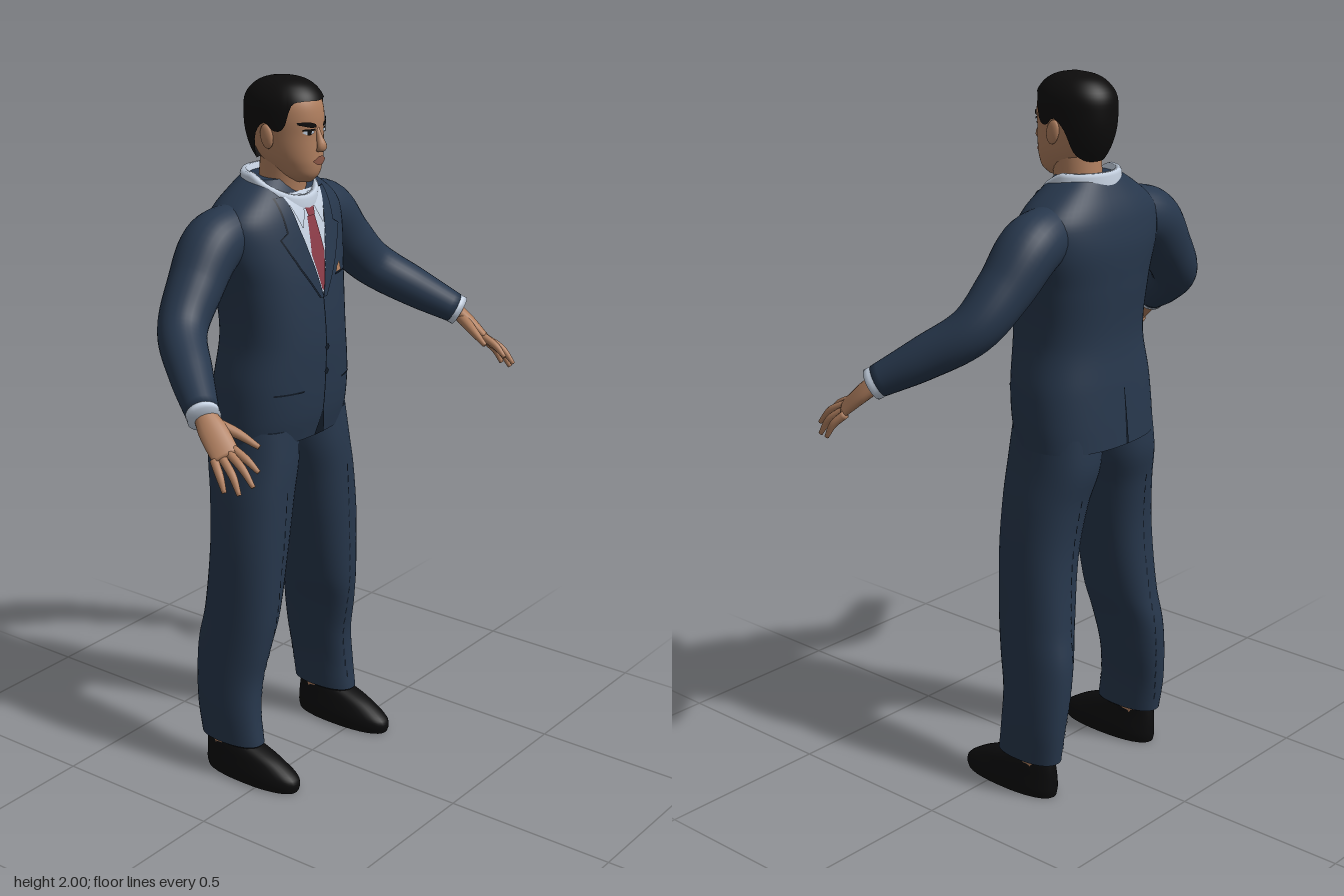
import * as THREE from 'three';

const mat = (name, color, side = THREE.FrontSide) => {
  const m = new THREE.MeshStandardMaterial({ color, side });
  m.name = name;
  return m;
};

// Surface from f(u, v); outward normal is du x dv, closed in u when asked
function grid(f, nu, nv, closed) {
  const pos = [], idx = [], cols = closed ? nu : nu + 1;
  for (let j = 0; j <= nv; j++)
    for (let i = 0; i < cols; i++) pos.push(...f(i / nu, j / nv, j));
  for (let j = 0; j < nv; j++)
    for (let i = 0; i < nu; i++) {
      const k = (i + 1) % cols, a = j * cols + i, b = j * cols + k;
      idx.push(a, b, a + cols, b, b + cols, a + cols);
    }
  const g = new THREE.BufferGeometry();
  g.setAttribute('position', new THREE.Float32BufferAttribute(pos, 3));
  g.setIndex(idx);
  g.computeVertexNormals();
  return g;
}

// Smooth interpolation of rows [key, a, b, ...] at a key
function sample(rows, y) {
  const n = rows.length;
  let i = 0;
  while (i < n - 2 && y > rows[i + 1][0]) i++;
  const p = rows[i], q = rows[i + 1], h = q[0] - p[0];
  const t = Math.min(1, Math.max(0, (y - p[0]) / h));
  const o = rows[Math.max(i - 1, 0)], r = rows[Math.min(i + 2, n - 1)];
  return p.slice(1).map((a, k) => {
    k++;
    const m0 = (q[k] - o[k]) / (q[0] - o[0]) * h, m1 = (r[k] - p[k]) / (r[0] - p[0]) * h;
    const t2 = t * t, t3 = t2 * t;
    return (2 * t3 - 3 * t2 + 1) * a + (t3 - 2 * t2 + t) * m0 + (3 * t2 - 2 * t3) * q[k] + (t3 - t2) * m1;
  });
}

// Body of stacked rounded sections, rows [y, centreX, halfWidth, frontZ, backZ]
function body(rows, n = 2) {
  const pw = (c) => Math.sign(c) * Math.abs(c) ** (2 / n);
  const point = (a, y, s = 1) => {
    const [cx, w, zf, zb] = sample(rows, y);
    return [cx + s * w * pw(Math.sin(a)), y, (zf + zb) / 2 + s * (zf - zb) / 2 * pw(Math.cos(a))];
  };
  const y0 = rows[0][0], y1 = rows[rows.length - 1][0];
  const geometry = (nu = 40, nv = 44) => grid((u, v, j) => {
    const t = Math.min(1, Math.max(0, (j - 2) / (nv - 4)));
    return point(u * Math.PI * 2, y0 + (y1 - y0) * t, j === 0 || j === nv ? 0.001 : 1);
  }, nu, nv, true);
  // thin plate following the surface, strip rows [y, x0, x1] from bottom to top
  const patch = (strip, lift = 0.004, back = false, nu = 8, nv = 16) => grid((u, v) => {
    const s = v * (strip.length - 1), i = Math.min(Math.floor(s), strip.length - 2);
    const [y, l, r] = strip[i].map((a, k) => a + (strip[i + 1][k] - a) * (s - i));
    const x = l + (r - l) * u, [cx, w, zf, zb] = sample(rows, y);
    const d = Math.max(0, 1 - Math.abs((x - cx) / w) ** n) ** (1 / n);
    const sgn = back ? -1 : 1;
    return [x, y, (zf + zb) / 2 + sgn * ((zf - zb) / 2 * d + lift)];
  }, nu, nv, false);
  return { geometry, patch, point };
}

// Limb along points, radii [across, through] per point, capped at both ends
function limb(points, radii, ref = [0, 1, 0.3], nu = 20, nv = 24) {
  const curve = new THREE.CatmullRomCurve3(points.map((p) => new THREE.Vector3(...p)));
  const rows = radii.map((r, i) => [i / (radii.length - 1), ...(Array.isArray(r) ? r : [r, r])]);
  const up = new THREE.Vector3(...ref);
  return grid((u, v, j) => {
    const t = Math.min(1, Math.max(0, (j - 1) / (nv - 2)));
    const c = curve.getPoint(t), tan = curve.getTangent(t);
    const e1 = tan.clone().cross(up).normalize(), e2 = e1.clone().cross(tan);
    const [r1, r2] = sample(rows, t), k = j === 0 || j === nv ? 0.001 : 1, a = u * Math.PI * 2;
    return c.addScaledVector(e1, Math.sin(a) * r1 * k).addScaledVector(e2, Math.cos(a) * r2 * k).toArray();
  }, nu, nv, true);
}

export function createModel() {
  const root = new THREE.Group();
  root.name = 'manInSuit';
  const D = THREE.DoubleSide;
  const suit = mat('navy suit', 0x27374c, D), seam = mat('dark seam', 0x111a26, D);
  const skin = mat('skin', 0xb07f5f, D), hair = mat('black hair', 0x0d0c0c, D);
  const shirt = mat('pale shirt', 0xc6d2e2, D), tieRed = mat('red tie', 0x8c3c48, D);
  const shoe = mat('black shoe', 0x0b0b0c), lip = mat('lips', 0x8d5847, D);
  const add = (name, geo, m) => {
    const mesh = new THREE.Mesh(geo, m);
    mesh.name = name;
    root.add(mesh);
    return mesh;
  };
  const flip = (strip, s) => strip.map(([y, a, b]) => (s > 0 ? [y, a, b] : [y, -b, -a]));

  // Jacket
  const jacket = body([
    [1.01, 0, 0.214, 0.02, -0.275], [1.08, 0, 0.216, 0.034, -0.27], [1.17, 0, 0.211, 0.042, -0.262],
    [1.3, 0, 0.19, 0.045, -0.25], [1.45, 0, 0.203, 0.03, -0.26], [1.55, 0, 0.228, 0.01, -0.265],
    [1.62, 0, 0.232, -0.008, -0.255], [1.66, 0, 0.205, -0.022, -0.242], [1.7, 0, 0.15, -0.042, -0.222],
    [1.73, 0, 0.1, -0.06, -0.205]], 2.4);
  add('jacket', jacket.geometry(56, 60), suit);
  add('shirtFront', jacket.patch([[1.42, -0.002, 0.002], [1.55, -0.045, 0.045], [1.695, -0.075, 0.075]], 0.003), shirt);
  add('tie', jacket.patch([[1.43, -0.004, 0.004], [1.53, -0.028, 0.028], [1.63, -0.016, 0.016]], 0.006), tieRed);
  add('tieKnot', jacket.patch([[1.63, -0.014, 0.014], [1.685, -0.024, 0.024]], 0.009), tieRed);
  add('frontEdge', jacket.patch([[1.08, -0.002, 0.002], [1.42, -0.002, 0.002]], 0.003), seam);
  add('frontOpening', jacket.patch([[1.012, -0.022, 0.022], [1.09, -0.001, 0.001]], 0.003), seam);
  add('backVent', jacket.patch([[1.012, -0.006, 0.004], [1.17, -0.001, 0.001]], 0.003, true), seam);
  for (const y of [1.2, 1.27])
    add('button', jacket.patch([[y - 0.009, -0.004, 0.004], [y, -0.01, 0.01], [y + 0.009, -0.004, 0.004]], 0.006), seam);
  add('breastPocket', jacket.patch([[1.455, 0.065, 0.125], [1.46, 0.065, 0.125]], 0.003), seam);
  add('pocketSquare', jacket.patch([[1.462, 0.07, 0.1], [1.475, 0.075, 0.098], [1.487, 0.092, 0.096]], 0.005), skin);
  for (const s of [1, -1]) {
    const lapel = [[1.41, 0.001, 0.012], [1.5, 0.025, 0.075], [1.585, 0.05, 0.125], [1.6, 0.055, 0.098], [1.69, 0.075, 0.105]];
    add('lapelEdge', jacket.patch(flip(lapel.map(([y, a, b]) => [y, a, b + 0.004]), s), 0.003, false, 8, 32), seam);
    add('lapel', jacket.patch(flip(lapel, s), 0.006, false, 8, 32), suit);
    add('collarWing', jacket.patch(flip([[1.605, 0.042, 0.046], [1.645, 0.024, 0.062], [1.69, 0.012, 0.08]], s), 0.008), shirt);
    add('hipPocket', jacket.patch(flip([[1.157, 0.085, 0.17], [1.162, 0.085, 0.17]], s), 0.003), seam);
  }

  // Shirt collar, high behind and dipping to the front
  add('shirtCollar', grid((u, v, j) => {
    const a = u * Math.PI * 2, rise = Math.min(1, (1 - Math.cos(a)) * 0.9);
    const top = 1.685 + 0.062 * rise, base = 1.65 + 0.04 * rise;
    const [r, y] = [[0.112, base], [0.112, top - 0.01], [0.106, top], [0.094, top], [0.085, base]][j];
    return [r * Math.sin(a), y, -0.112 + r * 0.92 * Math.cos(a)];
  }, 40, 4, true), shirt);

  // Neck and head
  add('neck', body([[1.62, 0, 0.07, -0.04, -0.18], [1.7, 0, 0.063, -0.035, -0.17], [1.8, 0, 0.062, -0.02, -0.16]]).geometry(24, 14), skin);
  const head = body([
    [1.722, 0, 0.022, -0.005, -0.06], [1.74, 0, 0.046, 0.012, -0.1], [1.77, 0, 0.064, 0.02, -0.145],
    [1.8, 0, 0.075, 0.021, -0.172], [1.85, 0, 0.083, 0.02, -0.195], [1.9, 0, 0.086, 0.021, -0.2],
    [1.94, 0, 0.081, 0.012, -0.196], [1.97, 0, 0.062, -0.012, -0.17], [1.988, 0, 0.03, -0.05, -0.13]], 2.1);
  add('head', head.geometry(44, 44), skin);
  add('nose', limb([[0, 1.872, 0.014], [0, 1.845, 0.024], [0, 1.82, 0.032], [0, 1.81, 0.022]],
    [0.006, 0.009, [0.016, 0.012], [0.011, 0.006]], [0, 0.3, 1], 14, 14), skin);
  add('lips', head.patch([[1.772, -0.01, 0.01], [1.784, -0.027, 0.027], [1.796, -0.008, 0.008]], 0.007), lip);
  for (const s of [1, -1]) {
    add('eyebrow', head.patch(flip([[1.874, 0.014, 0.03], [1.883, 0.016, 0.06], [1.89, 0.035, 0.062]], s), 0.005), hair);
    add('eyeWhite', head.patch(flip([[1.856, 0.026, 0.04], [1.862, 0.018, 0.05], [1.868, 0.026, 0.042]], s), 0.003), shirt);
    add('iris', head.patch(flip([[1.855, 0.029, 0.039], [1.869, 0.028, 0.04]], s), 0.005), hair);
    add('eyelid', head.patch(flip([[1.866, 0.016, 0.052], [1.871, 0.018, 0.05]], s), 0.005), hair);
    const ear = add('ear', new THREE.SphereGeometry(1, 16, 12), skin);
    ear.scale.set(0.01, 0.033, 0.02);
    ear.position.set(s * 0.087, 1.848, -0.085);
    ear.rotation.x = -0.2;
  }

  // Hair shell above a shaped hairline
  const shell = body([
    [1.76, 0, 0.062, 0.02, -0.165], [1.8, 0, 0.079, 0.024, -0.19], [1.85, 0, 0.088, 0.026, -0.207],
    [1.9, 0, 0.091, 0.028, -0.211], [1.94, 0, 0.087, 0.021, -0.207], [1.97, 0, 0.07, 0, -0.185],
    [1.99, 0, 0.043, -0.035, -0.148], [2, 0, 0.002, -0.085, -0.09]], 2.1);
  const hairline = [[0, 1.942], [0.6, 1.943], [0.9, 1.93], [1.08, 1.875], [1.35, 1.865], [1.55, 1.885],
    [1.8, 1.86], [2.1, 1.8], [2.5, 1.775], [3.15, 1.77]];
  add('hair', grid((u, v) => {
    const a = u * Math.PI * 2, [low] = sample(hairline, Math.min(a, Math.PI * 2 - a));
    return shell.point(a, low + (2 - low) * Math.sin(v * Math.PI / 2));
  }, 72, 24, true), hair);

  // Arms, hands, legs and shoes on both sides
  for (const s of [1, -1]) {
    const m = (pts) => pts.map(([x, y, z]) => [s * x, y, z]);
    add('sleeve', limb(m([[0.15, 1.605, -0.14], [0.245, 1.575, -0.145], [0.33, 1.485, -0.135],
      [0.42, 1.39, -0.105], [0.5, 1.315, -0.01], [0.572, 1.25, 0.088]]),
    [0.075, 0.084, 0.076, 0.066, 0.058, 0.044], [s, 1, 0.3], 28, 40), suit);
    add('shirtCuff', limb(m([[0.56, 1.262, 0.07], [0.581, 1.24, 0.102]]), [0.043, 0.044], [s, 1, 0.3], 24, 6), shirt);
    const ref = [s * 0.68, 0.72, 0.45];
    add('palm', limb(m([[0.568, 1.252, 0.085], [0.583, 1.215, 0.13], [0.6, 1.162, 0.188]]),
      [[0.026, 0.023], [0.037, 0.02], [0.037, 0.013]], ref), skin);
    const fingers = [
      [[0.568, 1.23, 0.115], [0.54, 1.205, 0.175], [0.522, 1.175, 0.23]],
      [[0.577, 1.18, 0.19], [0.576, 1.158, 0.235], [0.572, 1.132, 0.268]],
      [[0.591, 1.172, 0.188], [0.602, 1.145, 0.24], [0.606, 1.105, 0.278]],
      [[0.606, 1.162, 0.178], [0.622, 1.128, 0.225], [0.63, 1.085, 0.252]],
      [[0.62, 1.155, 0.165], [0.636, 1.125, 0.195], [0.643, 1.087, 0.215]]];
    fingers.forEach((f, i) => add(i ? 'finger' : 'thumb',
      limb(m(f), i ? [0.0115, 0.0105, 0.006] : [0.018, 0.0135, 0.007], ref, 12, 12), skin));

    const leg = body([
      [0.11, 0.222, 0.053, -0.015, -0.222], [0.2, 0.222, 0.056, -0.026, -0.235], [0.3, 0.212, 0.062, -0.028, -0.243],
      [0.4, 0.2, 0.067, -0.01, -0.243], [0.5, 0.183, 0.078, 0.005, -0.227], [0.7, 0.161, 0.092, 0.015, -0.215],
      [0.85, 0.139, 0.098, 0.018, -0.23], [0.95, 0.118, 0.102, 0.018, -0.252], [1.05, 0.106, 0.102, 0.01, -0.25],
    ].map(([y, x, ...r]) => [y, s * x, ...r]), 2.3);
    add('trouserLeg', leg.geometry(36, 44), suit);
    // dashed crease, front and rear
    for (let i = 0; i < 20; i++) {
      const y = 0.15 + i * 0.037, x = s * (0.205 - 0.065 * (i / 19));
      for (const back of [false, true])
        add('crease', leg.patch([[y, x - 0.002, x + 0.002], [y + 0.022, x - 0.002, x + 0.002]], 0.002, back, 1, 2), seam);
    }
    add('ankle', body([[0.08, s * 0.222, 0.043, -0.06, -0.2], [0.14, s * 0.222, 0.043, -0.06, -0.2]]).geometry(20, 6), skin);
    add('shoe', body([
      [0, 0.22, 0.052, 0.11, -0.206], [0.02, 0.22, 0.057, 0.115, -0.21], [0.04, 0.22, 0.056, 0.107, -0.21],
      [0.065, 0.221, 0.051, 0.07, -0.209], [0.085, 0.222, 0.047, 0.03, -0.207], [0.103, 0.222, 0.043, -0.02, -0.204],
    ].map(([y, x, ...r]) => [y, s * x, ...r]), 2.3).geometry(32, 20), shoe);
  }
  return root;
}
